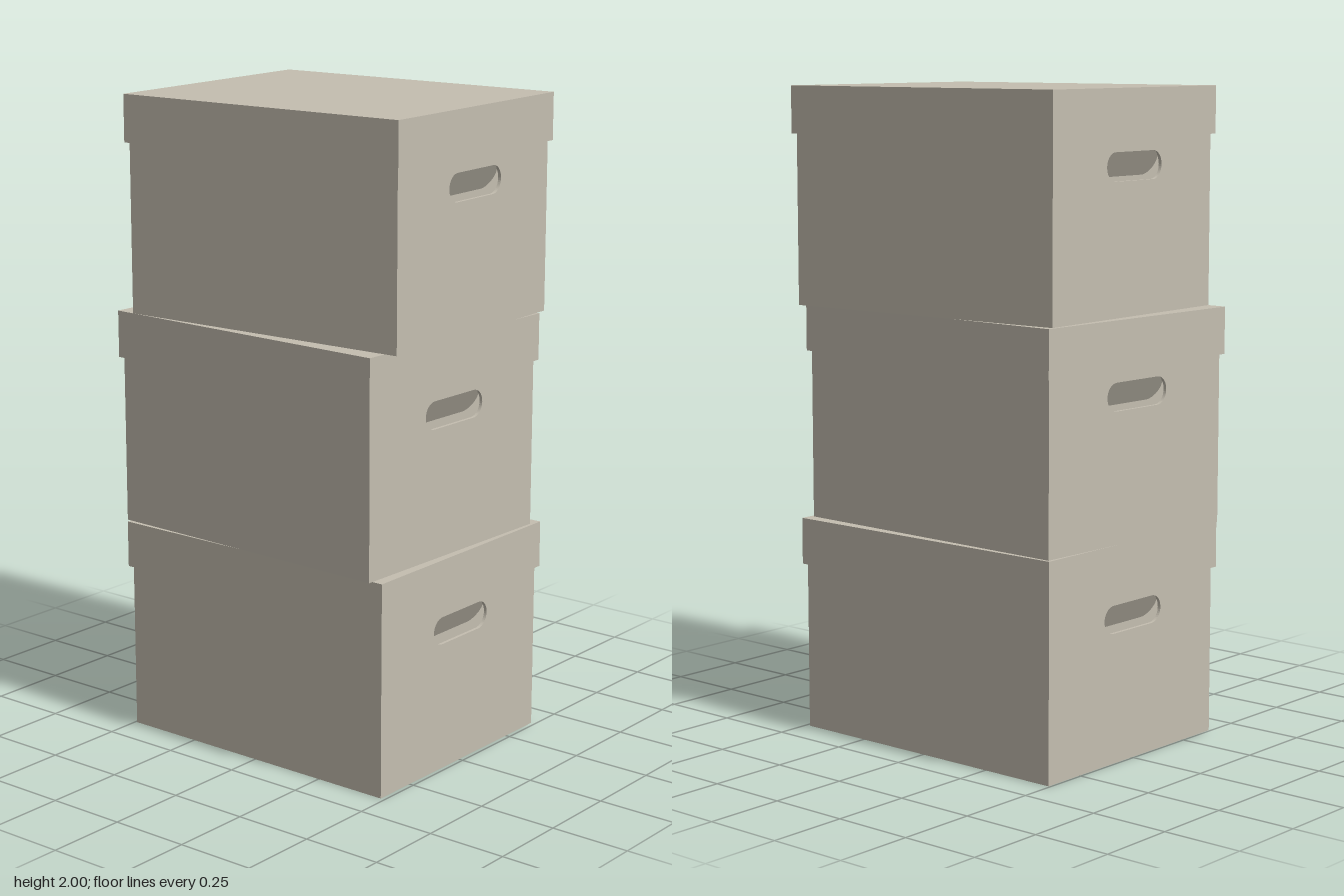
import * as THREE from 'three';

const W = 0.78, D = 0.98, T = 0.01;           // body width, depth, board thickness
const H = 2 / 3, LID_W = 0.805, LID_D = 1.0, LID_H = 0.145;
const HOLE_W = 0.27, HOLE_H = 0.085, HOLE_Y = 0.44;

const card = new THREE.MeshStandardMaterial({ color: 0xc4beb0 });
card.name = 'greyCardboard';

function add(parent, name, geometry, x = 0, y = 0, z = 0) {
  const mesh = new THREE.Mesh(geometry, card);
  mesh.name = name;
  mesh.position.set(x, y, z);
  parent.add(mesh);
  return mesh;
}

// Rounded slot outline centred on (0, cy)
function slot(path, cy) {
  const r = HOLE_H / 2, s = HOLE_W / 2 - r;
  path.moveTo(-s, cy - r);
  path.lineTo(s, cy - r);
  path.absarc(s, cy, r, -Math.PI / 2, Math.PI / 2, false);
  path.lineTo(-s, cy + r);
  path.absarc(-s, cy, r, Math.PI / 2, Math.PI * 1.5, false);
  return path;
}

function rect(path, x0, y0, x1, y1) {
  path.moveTo(x0, y0);
  path.lineTo(x1, y0);
  path.lineTo(x1, y1);
  path.lineTo(x0, y1);
  path.closePath();
  return path;
}

const extrude = (shape, depth) =>
  new THREE.ExtrudeGeometry(shape, { depth, bevelEnabled: false, curveSegments: 10 });

// End wall with a punched handle and its flap pushed inwards
function endWall() {
  const g = new THREE.Group();
  const shape = rect(new THREE.Shape(), -W / 2, 0, W / 2, H - 0.015);
  shape.holes.push(slot(new THREE.Path(), HOLE_Y));
  add(g, 'wallPanel', extrude(shape, T), 0, 0, D / 2 - T);

  const flapGeo = extrude(slot(new THREE.Shape(), -HOLE_H / 2), 0.004);
  flapGeo.translate(0, 0, -0.004);
  const flap = add(g, 'handleFlap', flapGeo, 0, HOLE_Y + HOLE_H / 2, D / 2 - 0.001);
  flap.rotation.x = Math.PI / 6;

  // Board lining behind the handle
  add(g, 'innerLining', new THREE.BoxGeometry(W - 2 * T, H - 0.03, 0.005), 0, H / 2, D / 2 - 0.055);
  return g;
}

function storageBox() {
  const g = new THREE.Group();

  // Body
  for (const [name, angle] of [['frontWall', 0], ['backWall', Math.PI]]) {
    const wall = endWall();
    wall.name = name;
    wall.rotation.y = angle;
    g.add(wall);
  }
  const bodyH = H - 0.015;
  for (const [name, s] of [['leftWall', 1], ['rightWall', -1]])
    add(g, name, new THREE.BoxGeometry(T, bodyH, D - 2 * T), s * (W - T) / 2, bodyH / 2, 0);
  add(g, 'floor', new THREE.BoxGeometry(W - 2 * T, T, D - 2 * T), 0, T / 2, 0);

  // Lid: rim and top in one shell
  const rim = rect(new THREE.Shape(), -LID_W / 2, -LID_D / 2, LID_W / 2, LID_D / 2);
  rim.holes.push(rect(new THREE.Path(), -W / 2 - 0.002, -D / 2 - 0.002, W / 2 + 0.002, D / 2 + 0.002));
  const rimGeo = extrude(rim, LID_H - T);
  rimGeo.rotateX(-Math.PI / 2);
  add(g, 'lidRim', rimGeo, 0, H - LID_H, 0);
  add(g, 'lidTop', new THREE.BoxGeometry(LID_W, T, LID_D), 0, H - T / 2, 0);
  return g;
}

export function createModel() {
  const model = new THREE.Group();
  model.name = 'stackedStorageBoxes';
  // Each box: name, x, z, turn
  const stack = [
    ['bottomBox', 0, -0.004, 0],
    ['middleBox', -0.0125, -0.0165, -0.031],
    ['topBox', 0.0075, 0.01, 0.038],
  ];
  stack.forEach(([name, x, z, turn], i) => {
    const box = storageBox();
    box.name = name;
    box.position.set(x, i * H, z);
    box.rotation.y = turn;
    model.add(box);
  });
  return model;
}
